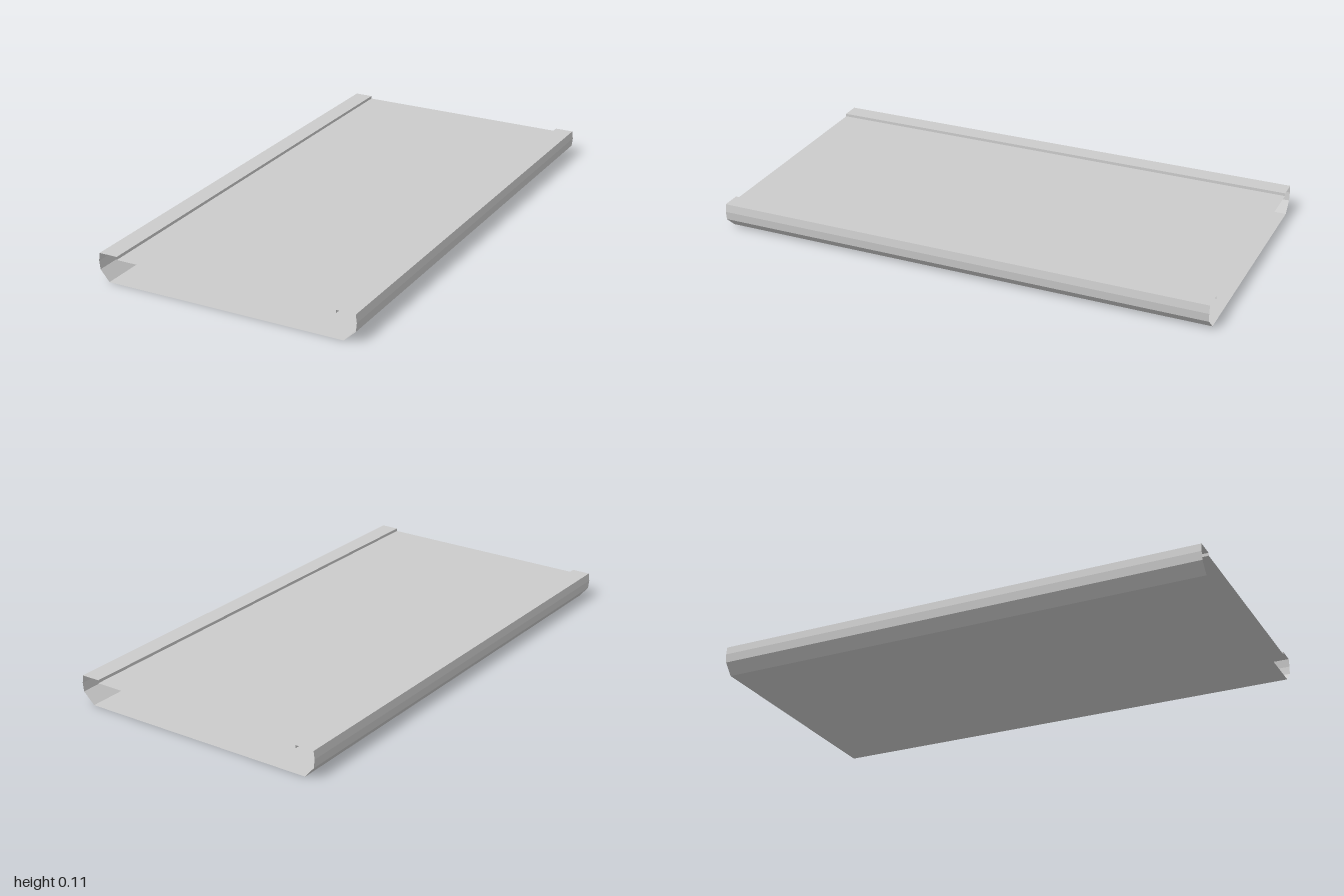
import * as THREE from 'three';

const HALF_LENGTH = 1;
const material = new THREE.MeshStandardMaterial({
  color: 0xcccccc, flatShading: true, side: THREE.DoubleSide,
});

// Sweeps an open profile of [x, y] points along z as thin flat-shaded sheets.
function sheet(name, profile) {
  const positions = [];
  for (let i = 0; i < profile.length - 1; i++) {
    const [ax, ay] = profile[i];
    const [bx, by] = profile[i + 1];
    const L = HALF_LENGTH;
    positions.push(
      ax, ay, L, bx, by, -L, bx, by, L,
      ax, ay, L, ax, ay, -L, bx, by, -L,
    );
  }
  const geometry = new THREE.BufferGeometry();
  geometry.setAttribute('position', new THREE.Float32BufferAttribute(positions, 3));
  geometry.computeVertexNormals();
  const mesh = new THREE.Mesh(geometry, material);
  mesh.name = name;
  return mesh;
}

export function createModel() {
  const group = new THREE.Group();
  group.name = 'openEndedPanel';

  const panelX = 0.455, panelY = 0.098, rimY = 0.11;
  const bottomLeft = 0.484, bottomRight = -0.494;

  // Recessed top panel and flat underside, outward faces up and down
  group.add(sheet('topPanel', [[panelX, panelY], [-panelX, panelY]]));
  group.add(sheet('bottomPanel', [[bottomRight, 0], [bottomLeft, 0]]));

  // Raised rim, slightly bulged side wall and slanted lower edge on each side
  const edge = (bottomX, s) => [
    [bottomX, 0], [s * 0.531, 0.044], [s * 0.535, 0.078], [s * 0.531, rimY],
    [s * panelX, rimY], [s * panelX, panelY],
  ];
  group.add(sheet('leftEdge', edge(bottomLeft, 1)));
  group.add(sheet('rightEdge', edge(bottomRight, -1).reverse()));

  return group;
}
